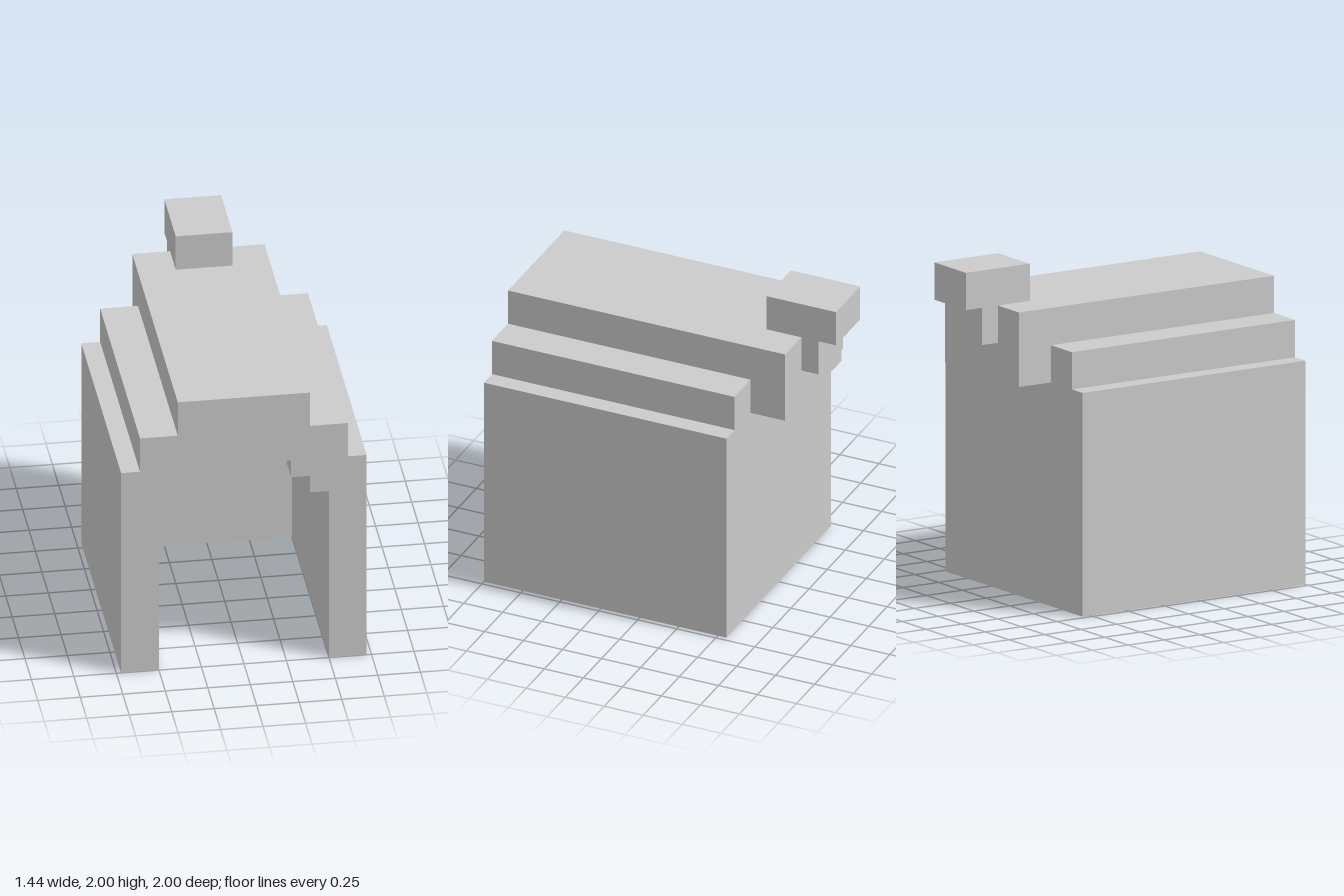
import * as THREE from 'three';

const U = 1 / 9; // block module; all sizes below are in modules
const material = new THREE.MeshStandardMaterial({ color: 0xcccccc, flatShading: true });

// Stepped profile: right half given from bottom to top, mirrored to the left
const OUTER = [[6.5, 0], [6.5, 12], [5.5, 12], [5.5, 14], [3.5, 14], [3.5, 16]];
const INNER = [[4.5, 0], [4.5, 10], [3.5, 10], [3.5, 11], [2.5, 11], [2.5, 12]];

const toPoints = (half) => [...half, ...half.map(([x, y]) => [-x, y]).reverse()]
  .map(([x, y]) => new THREE.Vector2(x * U, y * U));

function addMesh(group, name, geometry) {
  const mesh = new THREE.Mesh(geometry, material);
  mesh.name = name;
  group.add(mesh);
}

function addExtrusion(group, name, points, zBack, zFront) {
  const geometry = new THREE.ExtrudeGeometry(new THREE.Shape(points), {
    depth: (zFront - zBack) * U, bevelEnabled: false,
  });
  addMesh(group, name, geometry.translate(0, 0, zBack * U));
}

function addBlock(group, name, halfWidth, [y0, y1], [z0, z1]) {
  const geometry = new THREE.BoxGeometry(2 * halfWidth * U, (y1 - y0) * U, (z1 - z0) * U);
  addMesh(group, name, geometry.translate(0, (y0 + y1) / 2 * U, (z0 + z1) / 2 * U));
}

export function createModel() {
  const model = new THREE.Group();
  model.name = 'steppedHood';

  // Side walls and stepped roof around the open front
  addExtrusion(model, 'vault', [...toPoints(OUTER), ...toPoints(INNER).reverse()], -4, 9);

  // Thin wall closing the back
  addExtrusion(model, 'backWall', toPoints(OUTER), -5, -4);

  // Roof overhang, bracket and raised block at the back
  addBlock(model, 'roofOverhang', 3.5, [12, 16], [-7, -5]);
  addBlock(model, 'bracket', 1.5, [14, 16], [-8, -7]);
  addBlock(model, 'topBlock', 1.5, [16, 18], [-9, -5]);

  return model;
}
